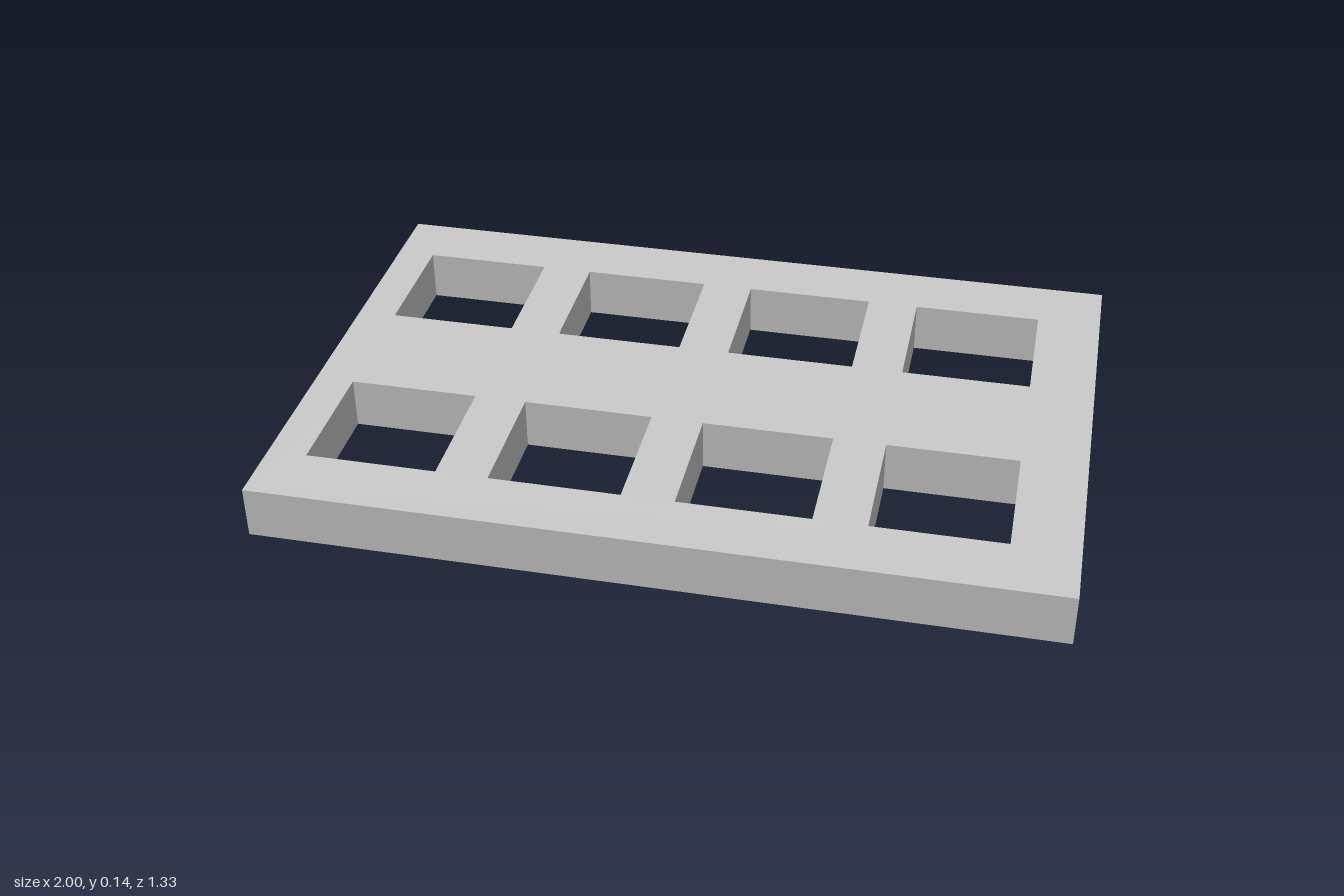
import * as THREE from 'three';

// Traces a closed rectangle onto a Shape or Path
function rectangle(path, x, y, w, h) {
  path.moveTo(x, y);
  path.lineTo(x + w, y);
  path.lineTo(x + w, y + h);
  path.lineTo(x, y + h);
  path.closePath();
  return path;
}

export function createModel() {
  const group = new THREE.Group();
  group.name = 'perforatedPlate';

  const width = 2, depth = 4 / 3, height = 0.135;
  const hole = 1 / 3, pitch = 0.4667, firstX = -0.9;

  // Plate outline
  const outline = rectangle(new THREE.Shape(), -width / 2, -depth / 2, width, depth);

  // Two rows of four square openings
  for (const y of [-0.5, 0.5 - hole]) {
    for (let i = 0; i < 4; i++) {
      outline.holes.push(rectangle(new THREE.Path(), firstX + i * pitch, y, hole, hole));
    }
  }

  // Lay the extruded plate flat on the ground
  const geometry = new THREE.ExtrudeGeometry(outline, { depth: height, bevelEnabled: false });
  geometry.rotateX(-Math.PI / 2);

  const plate = new THREE.Mesh(geometry, new THREE.MeshStandardMaterial({ color: 0xcccccc }));
  plate.name = 'plate';
  group.add(plate);
  return group;
}
